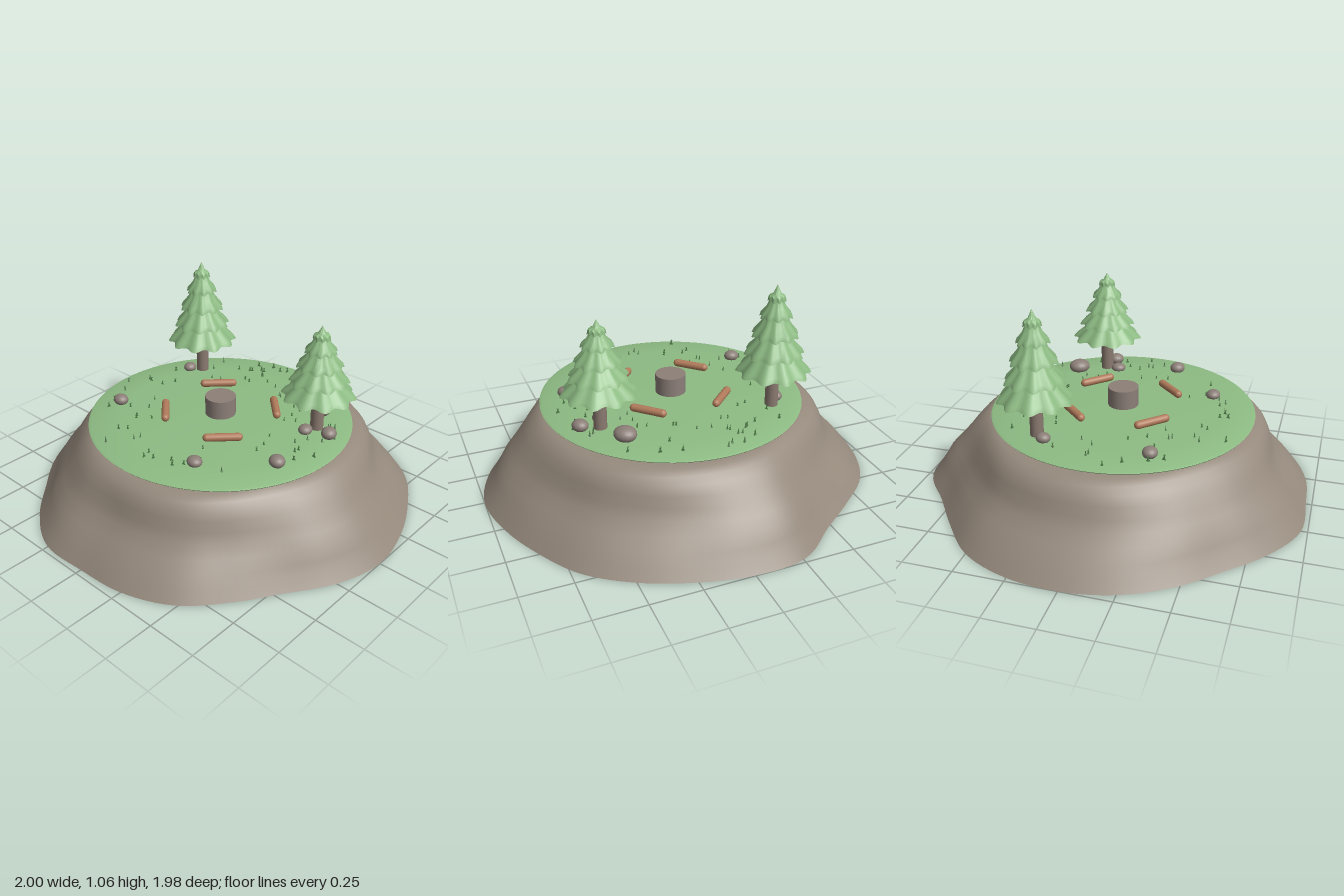
import * as THREE from 'three';
import { toCreasedNormals, mergeGeometries } from 'three/addons/utils/BufferGeometryUtils.js';

const mat = (name, color) => Object.assign(new THREE.MeshStandardMaterial({ color }), { name });

// Surface through rings; ring(j, angle) returns [radius, y]
function loft(rings, sides, ring, crease) {
  const pos = [], index = [];
  for (let j = 0; j < rings; j++) {
    for (let i = 0; i < sides; i++) {
      const a = (i / sides) * Math.PI * 2, [r, y] = ring(j, a);
      pos.push(r * Math.cos(a), y, r * Math.sin(a));
      if (j < rings - 1) {
        const p = j * sides + i, q = j * sides + (i + 1) % sides;
        index.push(p, p + sides, q, q, p + sides, q + sides);
      }
    }
  }
  const g = new THREE.BufferGeometry();
  g.setAttribute('position', new THREE.Float32BufferAttribute(pos, 3));
  g.setIndex(index);
  return toCreasedNormals(g, crease);
}

export function createModel() {
  const group = new THREE.Group();
  const earth = mat('earth', 0x968a7d);
  const grass = mat('grass', 0x8dbb83);
  const blade = mat('grass blades', 0x4f7a48);
  const bark = mat('bark', 0x8a7a70);
  const stone = mat('stone', 0x8c7f78);
  const log = mat('log wood', 0xb07a5a);

  const add = (name, geo, material, x = 0, y = 0, z = 0, parent = group) => {
    const m = new THREE.Mesh(geo, material);
    m.name = name;
    m.position.set(x, y, z);
    parent.add(m);
    return m;
  };

  // Hill: wavy foot outline fading into a rounder rim, with a central bore
  const radii = [1, 0.965, 0.92, 0.935, 0.975, 0.98, 0.97, 1, 0.97, 0.94, 0.96, 0.985,
    1, 1.007, 0.997, 0.95, 0.945, 1.01, 0.998, 0.98, 0.985, 0.997, 0.982, 0.988];
  const outline = new THREE.CatmullRomCurve3(
    radii.map(r => new THREE.Vector3(r, 0, 0)), true, 'catmullrom', 0.5);
  // radius, height, share of the outline's waviness, ledge ripple
  const slope = [
    [0.2, 0, 0, 0], [1, 0, 1, 0], [0.962, 0.05, 1, 0], [0.925, 0.1, 1, 0.005],
    [0.885, 0.15, 1, 0.016], [0.837, 0.2, 0.9, 0.02], [0.8, 0.25, 0.7, 0.012],
    [0.773, 0.3, 0.6, 0], [0.745, 0.34, 0.5, -0.008], [0.715, 0.37, 0.4, -0.012],
    [0.68, 0.39, 0.3, -0.01], [0.64, 0.395, 0, 0], [0.2, 0.395, 0, 0], [0.2, 0, 0, 0],
  ];
  add('hill', loft(slope.length, 144, (j, a) => {
    const [r, y, wave, ripple] = slope[j];
    const o = outline.getPoint(a / (Math.PI * 2)).x;
    return [r * (1 + (o - 1) * wave) + ripple * Math.sin(3 * a + 0.8), y];
  }, 0.7), earth);

  // Gently domed lawn
  const lawn = [[0, 0.405], [0.62, 0.405], [0.668, 0.41], [0.672, 0.415], [0.66, 0.42],
    [0.5, 0.427], [0.25, 0.434], [0, 0.437]];
  add('lawn', toCreasedNormals(new THREE.LatheGeometry(
    lawn.map(p => new THREE.Vector2(...p)), 72), 0.6), grass, 0, 0, 0.01);

  // Fire-pit stump
  add('stump', new THREE.CylinderGeometry(0.078, 0.078, 0.11, 32), stone, 0, 0.478, 0.01);

  // Log seats around the stump
  for (const sx of [-1, 1]) {
    for (const sz of [-1, 1]) {
      const m = add('logSeat', new THREE.CapsuleGeometry(0.02, 0.155, 4, 14), log,
        sx * 0.197, 0.457, 0.01 + sz * 0.2);
      m.rotation.set(0, sx * sz * Math.PI / 4, Math.PI / 2);
    }
  }

  // Pines: trunk plus stacked scalloped tiers
  function pine(x, z, top, twist) {
    const tree = new THREE.Group();
    tree.name = 'pine';
    tree.position.set(x, 0, z);
    tree.rotation.y = twist;
    group.add(tree);
    add('trunk', new THREE.CylinderGeometry(0.033, 0.033, 0.235, 20), bark, 0, 0.5175, 0, tree);
    const s = (top - 0.615) / 0.445;
    const tiers = [[0.175, 0, 0.145, 0.075], [0.14, 0.095, 0.23, 0.055], [0.11, 0.19, 0.32, 0.04],
      [0.076, 0.285, 0.395, 0.022], [0.042, 0.365, 0.445, 0]];
    tiers.forEach(([r, y0, y1, neck], n) => {
      const h = y1 - y0;
      const prof = [[0, 0.02, 0], [r, 0, 1], [r * 0.93, 0.022, 1],
        [neck + (r - neck) * 0.45, h * 0.45, 0.8], [neck, h, 0.3], [0, h, 0]];
      add('foliageTier', loft(prof.length, 60, (j, a) => {
        const [pr, py, w] = prof[j], c = Math.cos(10 * (a + n * 0.13));
        return [pr * (1 + 0.07 * w * c), 0.615 + s * (y0 + py) - (j > 0 && j < 3 ? 0.005 * c : 0)];
      }, 0.75), grass, 0, 0, 0, tree);
    });
  }
  pine(-0.42, -0.3, 1.06, 0.2);
  pine(0.447, -0.21, 0.98, 0.5);

  // Stones: x, z, radius
  const stones = [[-0.47, 0.27, 0.04], [0.225, 0.435, 0.036], [0.51, 0.18, 0.042],
    [0.37, -0.35, 0.052], [0.54, -0.185, 0.042], [0.43, -0.14, 0.035], [-0.47, -0.25, 0.036]];
  stones.forEach(([x, z, r], i) => {
    const m = add('stone', new THREE.SphereGeometry(r, 20, 14), stone, x, 0.42 + r * 0.55, z);
    m.scale.set(1, 0.72, i % 2 ? 1.1 : 0.92);
    m.rotation.y = i * 1.3;
  });

  // Grass tufts: three small leaning spikes each
  let seed = 7;
  const rand = () => (seed = (seed * 16807) % 2147483647) / 2147483647;
  const tufts = [];
  for (let i = 0; i < 76; i++) {
    const a = rand() * Math.PI * 2, r = 0.33 + 0.29 * rand();
    for (let k = 0; k < 3; k++) {
      const spike = new THREE.ConeGeometry(0.005, 0.024 + 0.014 * rand(), 4);
      spike.translate(0, 0.014, 0).rotateZ((k - 1) * 0.4).translate((k - 1) * 0.005, 0, 0);
      spike.rotateY(a * 3).translate(r * Math.cos(a), 0.424, 0.01 + r * Math.sin(a));
      tufts.push(spike);
    }
  }
  add('grassTufts', mergeGeometries(tufts), blade);

  return group;
}
